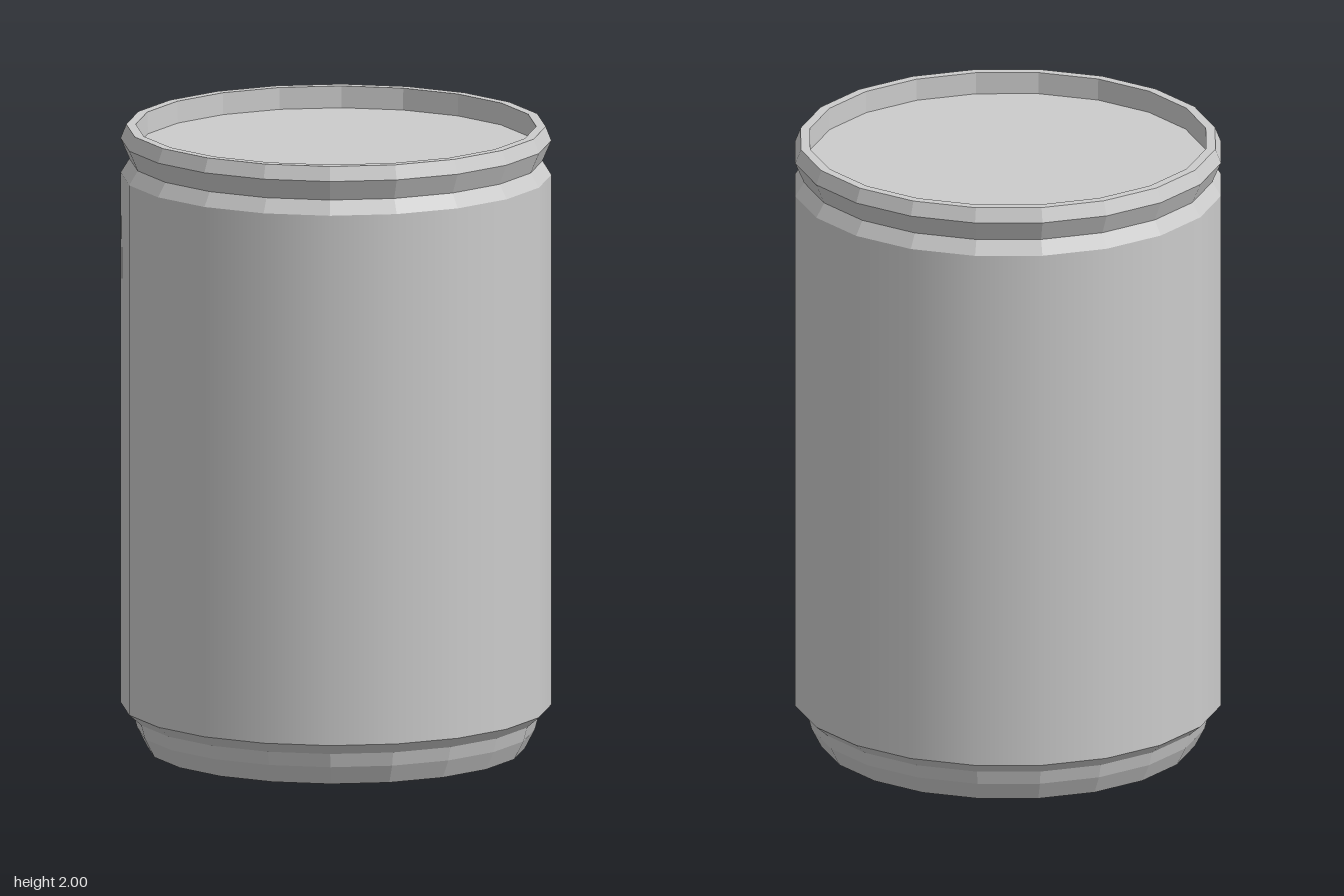
import * as THREE from 'three';

const SIDES = 20;

// Revolve a [radius, height] profile; listing it upwards makes it face outwards.
function ring(name, profile, flatShading) {
  const points = profile.map(([r, y]) => new THREE.Vector2(r, y));
  const mesh = new THREE.Mesh(
    new THREE.LatheGeometry(points, SIDES),
    new THREE.MeshStandardMaterial({ color: 0xcccccc, flatShading })
  );
  mesh.name = name;
  return mesh;
}

export function createModel() {
  const can = new THREE.Group();
  can.name = 'can';
  can.add(
    // recessed underside
    ring('base', [[0, 0.04], [0.59, 0.04], [0.597, 0]], true),
    // tapered foot
    ring('foot', [[0.597, 0], [0.628, 0.06], [0.64, 0.105], [0.68, 0.14]], true),
    // smooth side wall
    ring('body', [[0.68, 0.14], [0.68, 1.845]], false),
    // shoulder, pinched neck and flared lip
    ring('neck', [[0.68, 1.845], [0.652, 1.89], [0.68, 1.955], [0.662, 2]], true),
    // lip top, inner wall and sunken lid
    ring('lid', [[0.662, 2], [0.632, 2], [0.63, 1.93], [0, 1.93]], true)
  );
  return can;
}
